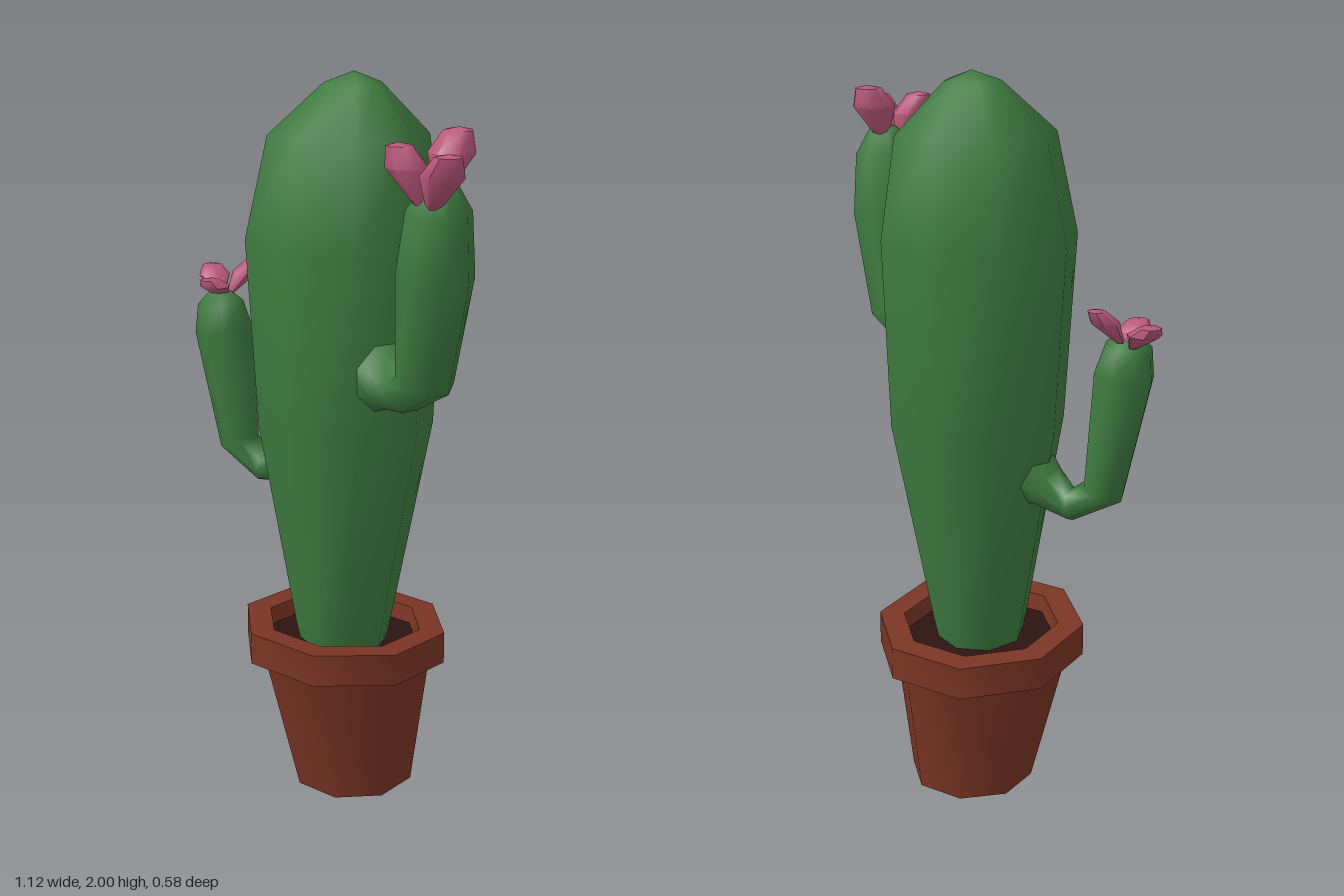
import * as THREE from 'three';
import { mergeVertices, toCreasedNormals } from 'three/addons/utils/BufferGeometryUtils.js';

// Skin a path of [x, y, z, radius] stations with smooth many-sided rings.
// Rings stay level when upright is true, otherwise they turn with the path.
function loft(stations, sides, upright = false) {
  const centres = stations.map(([x, y, z]) => new THREE.Vector3(x, y, z));
  const turn = new THREE.Quaternion();
  const dir = new THREE.Vector3(0, 1, 0);
  const pos = [], index = [];
  stations.forEach(([, , , r], i) => {
    const next = centres[Math.min(i + 1, centres.length - 1)].clone()
      .sub(centres[Math.max(i - 1, 0)]).normalize();
    if (!upright) turn.premultiply(new THREE.Quaternion().setFromUnitVectors(dir, next));
    dir.copy(next);
    for (let s = 0; s < sides; s++) {
      const a = (s / sides) * Math.PI * 2;
      const p = new THREE.Vector3(Math.sin(a) * r, 0, Math.cos(a) * r)
        .applyQuaternion(turn).add(centres[i]);
      pos.push(p.x, p.y, p.z);
      if (i > 0) {
        const b = i * sides + s, b2 = i * sides + (s + 1) % sides;
        index.push(b - sides, b2 - sides, b2, b - sides, b2, b);
      }
    }
  });
  let geo = new THREE.BufferGeometry();
  geo.setAttribute('position', new THREE.Float32BufferAttribute(pos, 3));
  geo.setIndex(index);
  geo = mergeVertices(geo);
  geo.computeVertexNormals();
  return geo;
}

// Eight-sided pot part, nudged off centre and tilted towards the top
function potPart(profile) {
  const geo = new THREE.LatheGeometry(
    profile.map(([r, y]) => new THREE.Vector2(r, y)), 8, Math.PI / 8);
  const p = geo.attributes.position;
  for (let i = 0; i < p.count; i++) {
    const t = Math.min(p.getY(i) / 0.385, 1);
    p.setY(i, p.getY(i) + 0.055 * p.getZ(i) * t);
    p.setX(i, p.getX(i) + 0.01 - 0.02 * t);
    p.setZ(i, p.getZ(i) - 0.04 + 0.015 * t);
  }
  return toCreasedNormals(geo, 0.9);
}

export function createModel() {
  const model = new THREE.Group();
  model.name = 'pottedCactus';
  const green = new THREE.MeshStandardMaterial({ color: 0x3f7b40 });
  green.name = 'cactusGreen';
  const clay = new THREE.MeshStandardMaterial({ color: 0x7a3524 });
  clay.name = 'terracotta';
  const pink = new THREE.MeshStandardMaterial({ color: 0xb9587a });
  pink.name = 'flowerPink';
  const dark = new THREE.MeshStandardMaterial({ color: 0x2c1310 });
  dark.name = 'soilBrown';

  const add = (name, geo, mat, parent = model) => {
    const mesh = new THREE.Mesh(geo, mat);
    mesh.name = name;
    parent.add(mesh);
    return mesh;
  };

  // Pot
  add('potBody', potPart([[0, 0], [0.173, 0], [0.248, 0.392]]), clay);
  add('potRim', potPart([[0.235, 0.388], [0.291, 0.388], [0.291, 0.478],
    [0.22, 0.478], [0.212, 0.42]]), clay);
  add('soil', potPart([[0.214, 0.43], [0, 0.43]]), dark);

  // Trunk
  add('trunk', loft([
    [0, 0.4, -0.01, 0.115], [0, 0.48, -0.01, 0.133], [0, 1.06, -0.02, 0.238],
    [-0.008, 1.57, -0.022, 0.262], [-0.005, 1.84, -0.035, 0.212],
    [0, 1.972, -0.045, 0.075], [0, 2, -0.05, 0],
  ], 8, true), green);

  // Arms
  add('leftArm', loft([
    [0.14, 1.25, 0.04, 0.14], [0.235, 1.245, 0.08, 0.075], [0.3, 1.24, 0.105, 0.06],
    [0.375, 1.285, 0.13, 0.075], [0.42, 1.56, 0.155, 0.098],
    [0.435, 1.72, 0.165, 0.082], [0.44, 1.79, 0.17, 0.04], [0.44, 1.8, 0.17, 0],
  ], 8), green);
  add('rightArm', loft([
    [-0.13, 0.95, -0.015, 0.11], [-0.215, 0.915, -0.012, 0.062], [-0.29, 0.877, -0.01, 0.043],
    [-0.385, 0.935, -0.008, 0.056], [-0.432, 1.26, 0, 0.08],
    [-0.442, 1.335, 0, 0.064], [-0.442, 1.362, 0, 0.035], [-0.442, 1.365, 0, 0],
  ], 8), green);

  // Flower buds: narrow base, wide shoulder, blunt tip
  const bud = (parent, base, tip, r) => {
    const profile = [[0, 0], [0, 0.25], [0.62, 1], [0.95, 0.62], [1, 0]];
    const stations = profile.map(([t, k]) =>
      [...base.map((b, i) => b + (tip[i] - b) * t), r * k]);
    add('flowerBud', toCreasedNormals(loft(stations, 7), 0.95), pink, parent);
  };
  const cluster = (name, buds) => {
    const group = new THREE.Group();
    group.name = name;
    buds.forEach(([base, tip, r]) => bud(group, base, tip, r));
    model.add(group);
  };
  cluster('leftFlowers', [
    [[0.43, 1.76, 0.15], [0.443, 1.912, 0.1], 0.06],
    [[0.42, 1.73, 0.21], [0.372, 1.885, 0.243], 0.054],
    [[0.45, 1.725, 0.21], [0.525, 1.872, 0.25], 0.056],
  ]);
  cluster('rightFlowers', [
    [[-0.475, 1.345, -0.035], [-0.545, 1.42, -0.075], 0.045],
    [[-0.44, 1.355, -0.04], [-0.403, 1.45, -0.105], 0.038],
    [[-0.45, 1.34, -0.025], [-0.455, 1.405, 0.03], 0.043],
  ]);
  return model;
}
